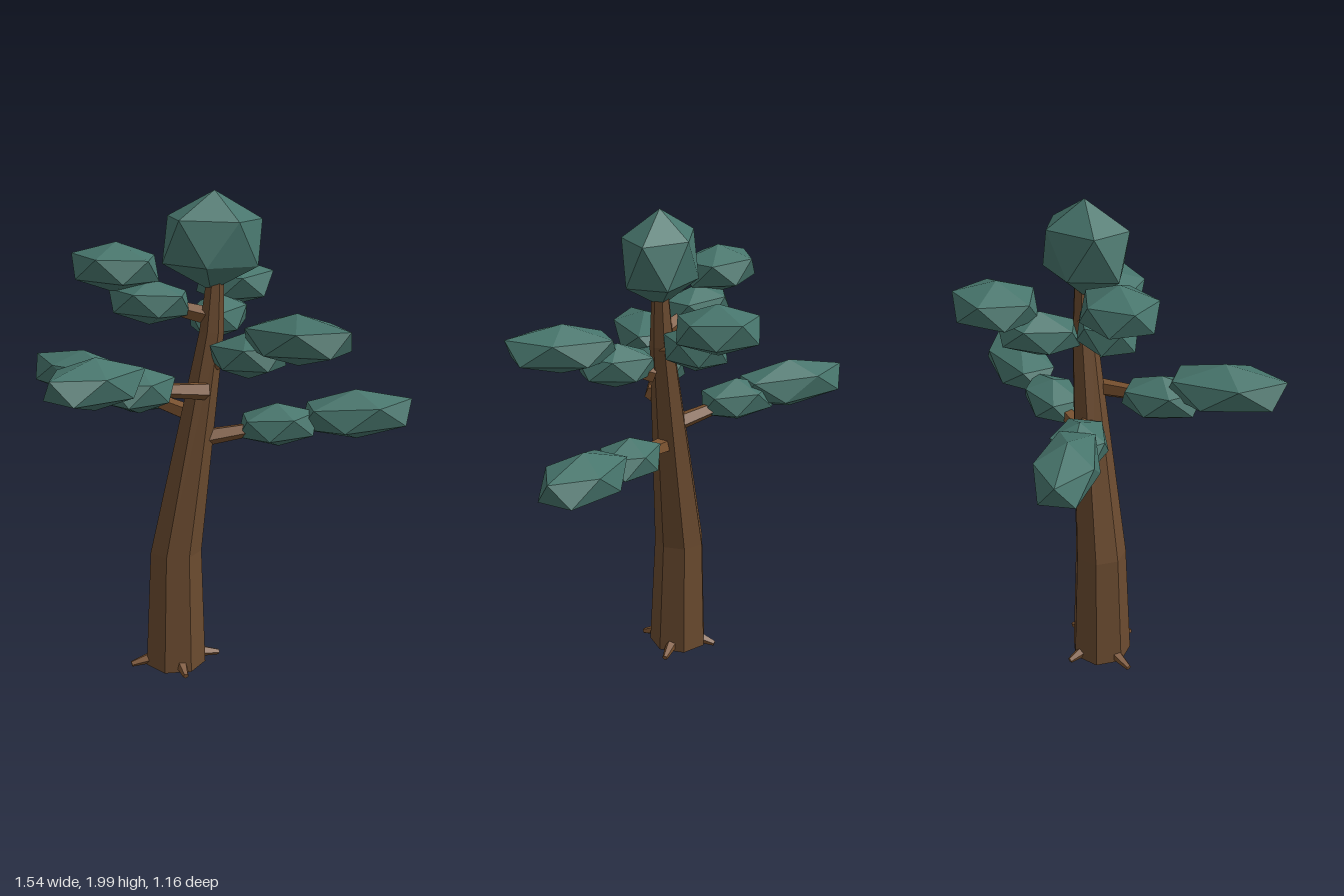
import * as THREE from 'three';

const flat = (color) => new THREE.MeshStandardMaterial({ color, flatShading: true });
const bark = flat(0x6a4a2f);
const wood = flat(0x7a5230);
const leaf = flat(0x47756c);

function addMesh(parent, name, geometry, material) {
  const mesh = new THREE.Mesh(geometry, material);
  mesh.name = name;
  parent.add(mesh);
  return mesh;
}

// Tapered limb between two points
function limb(a, b, r0, r1, sides) {
  const dir = b.clone().sub(a);
  const geo = new THREE.CylinderGeometry(r1, r0, dir.length(), sides);
  geo.applyQuaternion(new THREE.Quaternion().setFromUnitVectors(new THREE.Vector3(0, 1, 0), dir.normalize()));
  const mid = a.clone().add(b).multiplyScalar(0.5);
  return geo.translate(mid.x, mid.y, mid.z);
}

// Icosahedron standing on a vertex; half length, height and width, turned to yaw
function clump(center, length, height, width, yaw, tilt = 0) {
  const geo = new THREE.IcosahedronGeometry(1, 0);
  geo.rotateX(-Math.atan((1 + Math.sqrt(5)) / 2)).rotateY(Math.PI / 2);
  geo.scale(length / 0.894, height, width / 0.85);
  return geo.rotateZ(tilt).rotateY(yaw).translate(center.x, center.y, center.z);
}

// Seven-sided trunk, bent and tapered: y, centre x, centre z, radius
function trunkGeometry() {
  const rings = [
    [0.01, -0.208, 0.02, 0.129],
    [0.52, -0.2, 0.013, 0.109],
    [1.45, -0.05, 0.04, 0.051],
    [1.68, -0.034, 0.042, 0.034],
  ];
  const geo = new THREE.CylinderGeometry(1, 1, 3, 7, 3, false, THREE.MathUtils.degToRad(68));
  const p = geo.attributes.position;
  for (let i = 0; i < p.count; i++) {
    const [y, x, z, r] = rings[Math.round(p.getY(i) + 1.5)];
    p.setXYZ(i, x + p.getX(i) * r, y, z + p.getZ(i) * r);
  }
  geo.computeVertexNormals();
  return geo;
}

export function createModel() {
  const tree = new THREE.Group();
  tree.name = 'tree';
  addMesh(tree, 'trunk', trunkGeometry(), bark);

  // Four short roots around the foot
  const V = (p) => new THREE.Vector3(...p);
  for (let i = 0; i < 4; i++) {
    const c = Math.cos(i * Math.PI / 2), s = Math.sin(i * Math.PI / 2);
    const start = V([-0.207 + 0.09 * c, 0.04, 0.018 + 0.09 * s]);
    const tip = V([-0.207 + 0.193 * c, 0.018, 0.018 + 0.17 * s]);
    addMesh(tree, 'root', limb(start, tip, 0.028, 0.012, 5), wood);
  }

  // Boughs: limb start, inner clump centre, outer clump centre, outer half length, height, width
  const boughs = [
    [[-0.07, 1.01, 0.04], [0.22, 1.05, 0.085], [0.54, 1.085, 0.145], 0.235, 0.105, 0.12],
    [[-0.03, 1.33, 0.07], [0.05, 1.378, 0.2], [0.19, 1.47, 0.375], 0.23, 0.1, 0.13],
    [[-0.04, 1.44, 0.03], [0.03, 1.475, -0.125], [0.138, 1.59, -0.25], 0.17, 0.1, 0.155],
    [[-0.07, 1.51, 0.03], [-0.28, 1.565, -0.035], [-0.405, 1.7, -0.085], 0.175, 0.1, 0.135],
    [[-0.09, 1.22, 0.095], [-0.375, 1.265, 0.17], [-0.573, 1.34, 0.31], 0.235, 0.1, 0.125],
    [[-0.13, 1.1, -0.01], [-0.325, 1.16, -0.2], [-0.493, 1.2, -0.388], 0.25, 0.105, 0.11],
  ];
  for (const [a, b, c, length, height, width] of boughs) {
    const bough = new THREE.Group();
    bough.name = 'bough';
    tree.add(bough);
    const start = V(a), inner = V(b), outer = V(c);
    const yaw = -Math.atan2(outer.z - inner.z, outer.x - inner.x);
    addMesh(bough, 'branch', limb(start, inner, 0.037, 0.025, 5), wood);
    addMesh(bough, 'innerLeaves', clump(inner, 0.165, 0.092, 0.105, yaw, 0.05), leaf);
    addMesh(bough, 'outerLeaves', clump(outer, length, height, width, yaw, 0.05), leaf);
  }

  // Crown on the tip of the trunk
  addMesh(tree, 'crown', clump(V([-0.045, 1.805, 0.045]), 0.2, 0.195, 0.138, 0, -0.04), leaf);
  return tree;
}
